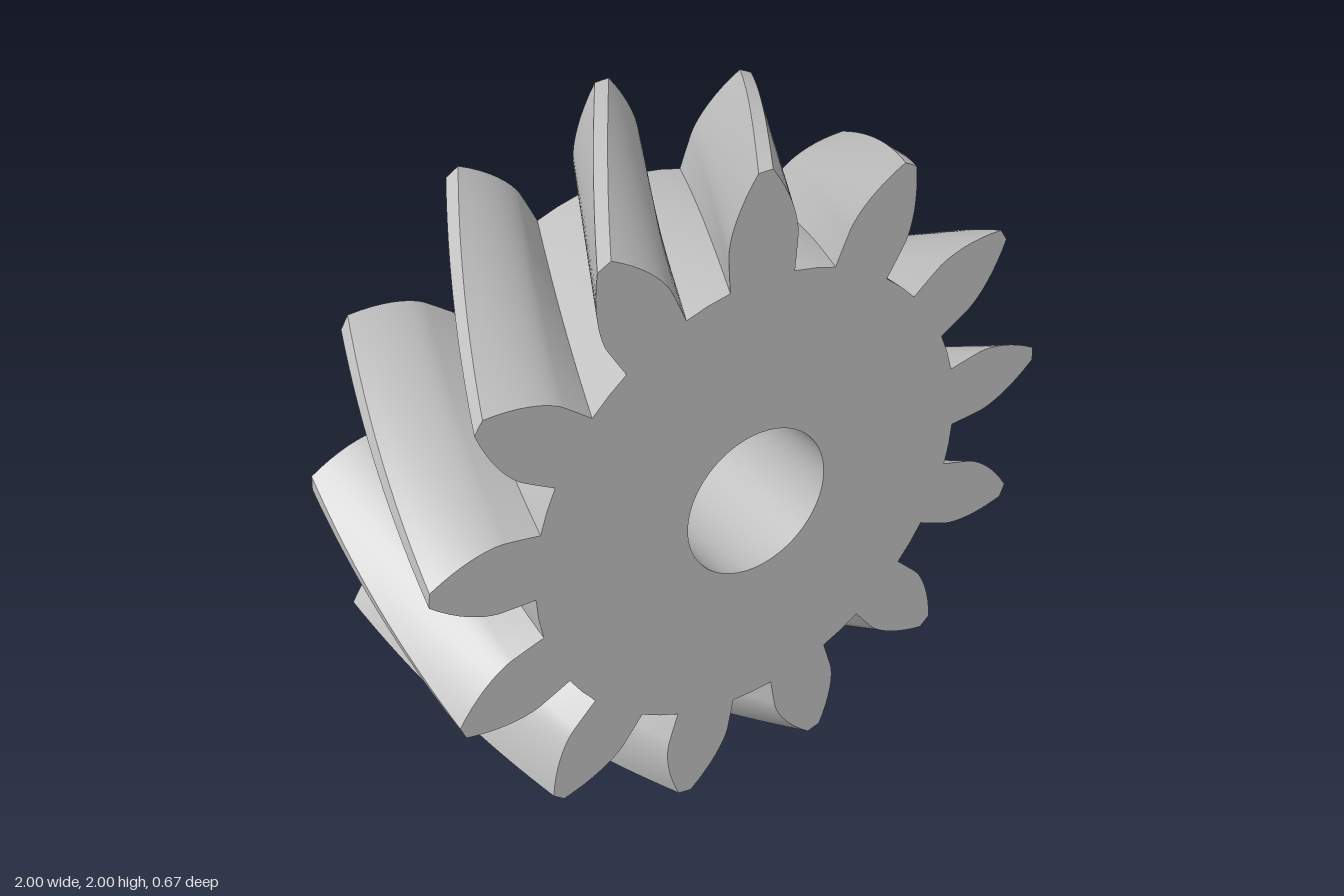
import * as THREE from 'three';
import { toCreasedNormals } from 'three/addons/utils/BufferGeometryUtils.js';

const TEETH = 13, TIP = 1, BASE = 0.797, ROOT = 0.698, BORE = 0.228;
const DEPTH = 0.667, TWIST = THREE.MathUtils.degToRad(25);

// Half outline of one tooth, root to tip, as [radius, half angle in degrees]
function toothFlank() {
  const pts = [[ROOT, 8.25], [0.745, 8.0]];
  const n = 9;
  for (let i = 0; i <= n; i++) {
    const r = BASE + (TIP - BASE) * (i / n) ** 1.3;
    const a = Math.acos(BASE / r);
    pts.push([r, 7.7 - THREE.MathUtils.radToDeg(Math.tan(a) - a) * 1.03]); // involute
  }
  return pts;
}

// Closed gear outline with a round bore
function gearShape() {
  const flank = toothFlank();
  const pitch = 360 / TEETH;
  const pts = [];
  const add = (r, deg) => {
    const a = THREE.MathUtils.degToRad(deg);
    pts.push(new THREE.Vector2(r * Math.cos(a), r * Math.sin(a)));
  };
  for (let i = 0; i < TEETH; i++) {
    const mid = 90 + i * pitch;
    flank.forEach(([r, h]) => add(r, mid - h));
    add(TIP, mid);
    [...flank].reverse().forEach(([r, h]) => add(r, mid + h));
    add(ROOT, mid + pitch / 2);
  }
  const shape = new THREE.Shape(pts);
  const bore = new THREE.Path();
  bore.absarc(0, 0, BORE, 0, Math.PI * 2, true);
  shape.holes.push(bore);
  return shape;
}

export function createModel() {
  const group = new THREE.Group();
  group.name = 'helicalGear';
  const steel = new THREE.MeshStandardMaterial({ color: 0xc0c0c0 });
  steel.name = 'steel grey';

  const geo = new THREE.ExtrudeGeometry(gearShape(), {
    depth: DEPTH, steps: 20, curveSegments: 64, bevelEnabled: false,
  });

  // Twist the teeth progressively from the front face to the back face
  const pos = geo.attributes.position;
  const v = new THREE.Vector3();
  const axis = new THREE.Vector3(0, 0, 1);
  for (let i = 0; i < pos.count; i++) {
    v.fromBufferAttribute(pos, i);
    v.applyAxisAngle(axis, -TWIST * (1 - v.z / DEPTH));
    pos.setXYZ(i, v.x, v.y, v.z);
  }
  geo.translate(0, TIP, -DEPTH / 2);

  const gear = new THREE.Mesh(toCreasedNormals(geo, THREE.MathUtils.degToRad(28)), steel);
  gear.name = 'gearBody';
  group.add(gear);
  return group;
}
